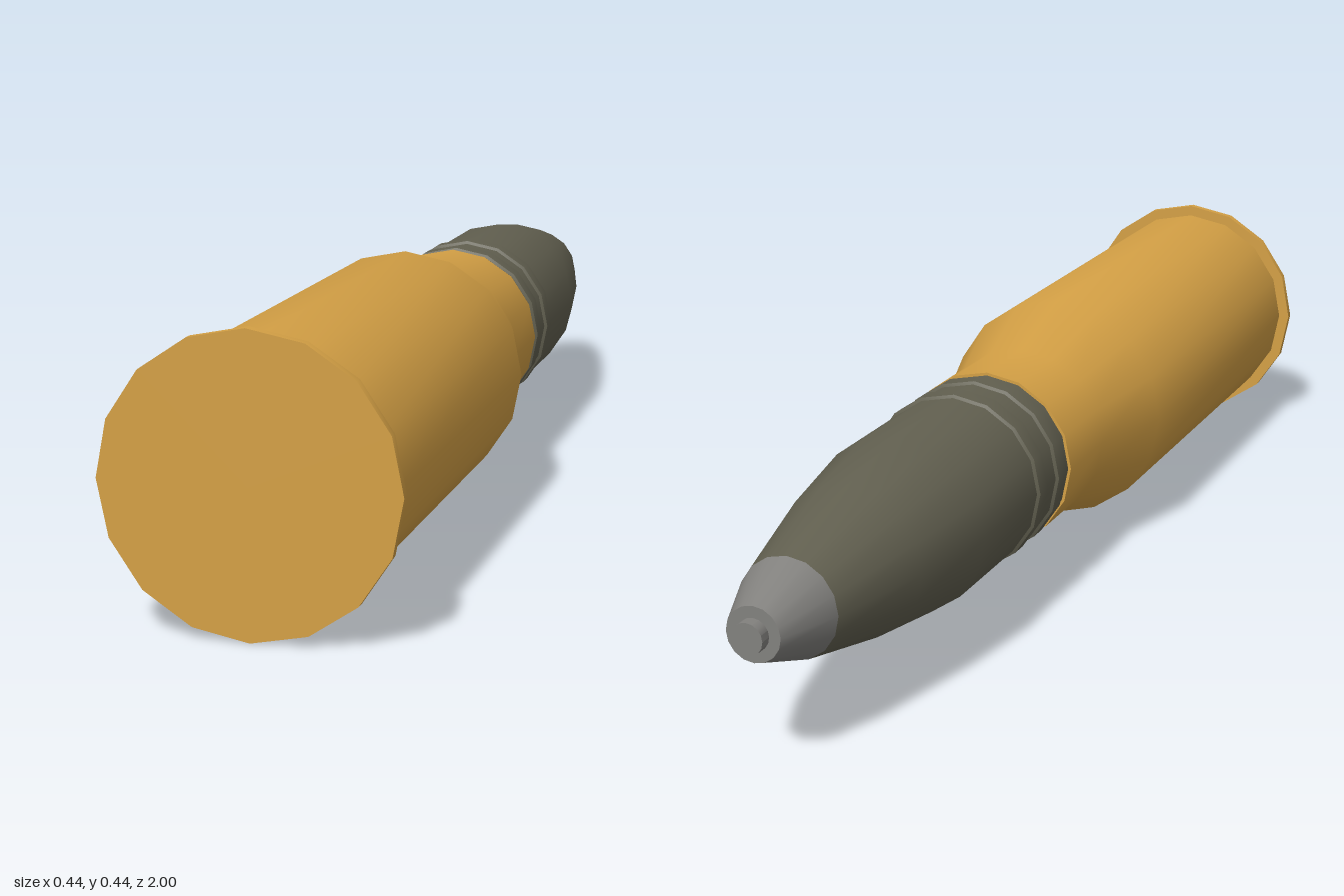
import * as THREE from 'three';
import { toCreasedNormals } from 'three/addons/utils/BufferGeometryUtils.js';

const SIDES = 16;
const AXIS_HEIGHT = 0.22;

export function createModel() {
  const model = new THREE.Group();
  model.name = 'cartridge';

  const material = (name, color) => {
    const m = new THREE.MeshStandardMaterial({ color });
    m.name = name;
    return m;
  };
  const brass = material('brass', 0xd4a045);
  const olive = material('dark olive', 0x626050);
  const steel = material('grey steel', 0x82817e);

  // Turned part from [radius, z] pairs, listed from the base (+z) to the tip (-z)
  const turned = (name, mat, profile) => {
    const points = profile.map(([r, z]) => new THREE.Vector2(r, -z));
    const lathe = new THREE.LatheGeometry(points, SIDES);
    lathe.rotateX(-Math.PI / 2);
    const mesh = new THREE.Mesh(toCreasedNormals(lathe, 0.5), mat);
    mesh.name = name;
    mesh.position.y = AXIS_HEIGHT;
    model.add(mesh);
  };

  // Case: flat rim, straight body, sloping shoulder and neck
  turned('rim', brass, [[0, 1], [0.22, 1], [0.22, 0.985], [0, 0.985]]);
  turned('caseBody', brass, [
    [0.2, 0.985], [0.2, 0.19], [0.153, 0.02], [0.153, -0.137], [0.14, -0.137],
  ]);

  // Projectile with a curved nose
  turned('projectile', olive, [
    [0.148, -0.13], [0.148, -0.5], [0.122, -0.68], [0.08, -0.875],
  ]);

  // Two raised driving bands
  for (const z of [-0.155, -0.24]) {
    turned('drivingBand', olive, [
      [0.146, z], [0.153, z - 0.004], [0.153, z - 0.038], [0.146, z - 0.042],
    ]);
  }

  // Tapered nose cap and its small end pin
  turned('noseCap', steel, [[0.08, -0.875], [0.043, -0.98], [0, -0.98]]);
  turned('nosePin', steel, [[0.025, -0.975], [0.025, -1], [0, -1]]);

  return model;
}
